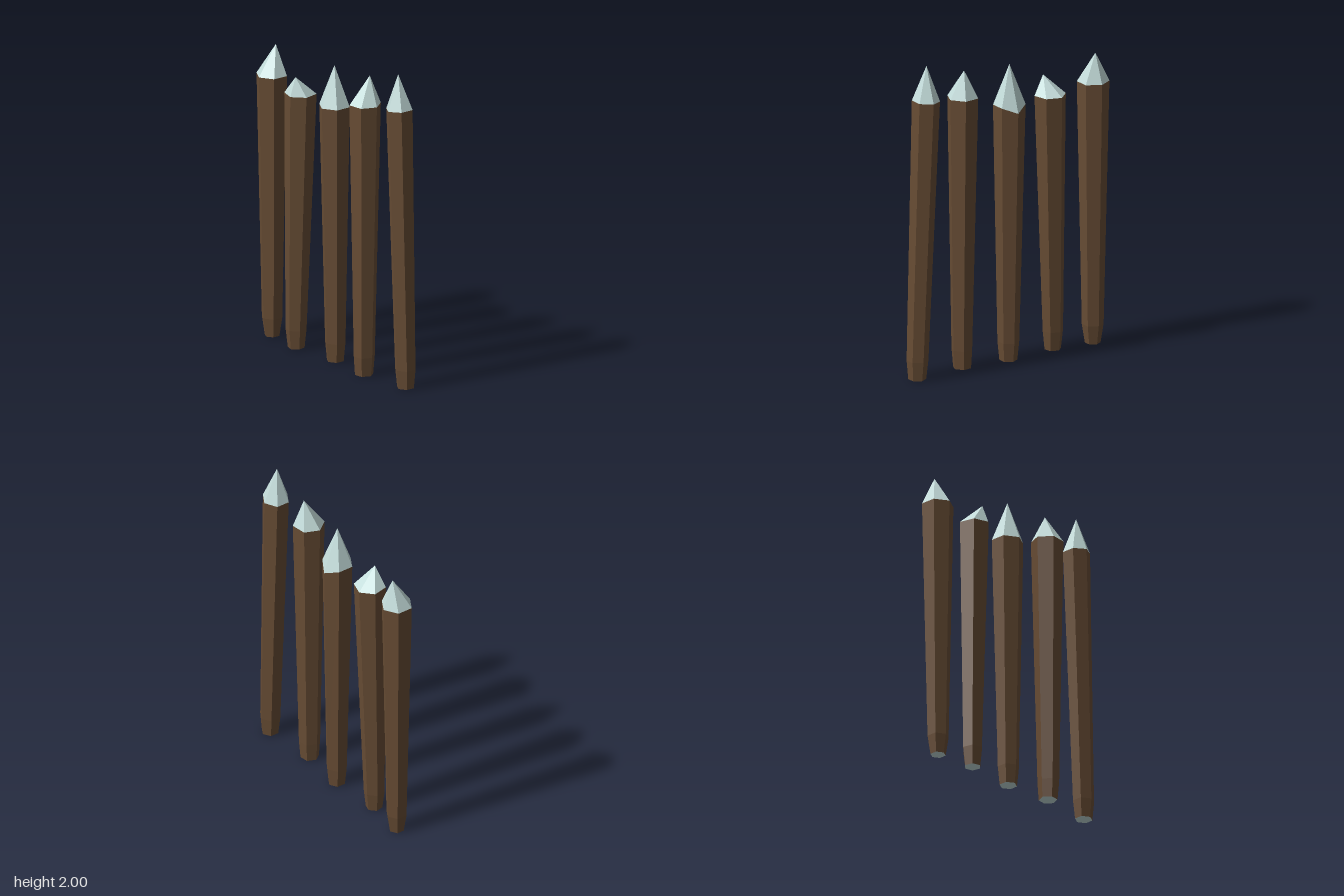
import * as THREE from 'three';

const wood = new THREE.MeshStandardMaterial({ color: 0x674c34 });
wood.name = 'brown bark';
const cut = new THREE.MeshStandardMaterial({ color: 0xc5dedc });
cut.name = 'pale cut wood';

const SIDES = 6;

// Each stake: rings of [x, y, z, radius] from foot to shoulder, the tip point,
// the turn of its hexagon in degrees, and optional slope / rear dip of the shoulder.
const stakes = [
  { turn: 0, tip: [-0.63, 1.87, -0.04],
    rings: [[-0.63, 0, -0.01, 0.048], [-0.63, 0.12, -0.01, 0.067], [-0.633, 1.68, -0.01, 0.1]] },
  { turn: 13, tip: [-0.313, 1.76, 0.06],
    rings: [[-0.357, 0, 0.02, 0.052], [-0.358, 0.12, 0.02, 0.065], [-0.33, 1.642, 0.008, 0.1]] },
  { turn: 0, tip: [-0.02, 1.9, -0.01], dip: 0.035,
    rings: [[-0.012, 0, -0.01, 0.055], [-0.012, 0.12, -0.01, 0.067], [-0.019, 1.64, -0.01, 0.1]] },
  { turn: 37.5, tip: [0.317, 1.92, -0.017],
    rings: [[0.307, 0, 0.02, 0.058], [0.309, 0.12, 0.02, 0.067], [0.307, 1.74, 0.012, 0.1]] },
  { turn: 0, tip: [0.593, 2, -0.018], slope: 0.06,
    rings: [[0.662, 0, -0.02, 0.055], [0.66, 0.12, -0.02, 0.067], [0.6, 1.776, -0.022, 0.0865]] },
];

// Corner points of one hexagonal cross-section
function ring([x, y, z, r], turn) {
  return Array.from({ length: SIDES }, (_, i) => {
    const a = THREE.MathUtils.degToRad(turn) + (i / SIDES) * Math.PI * 2;
    return [x + Math.sin(a) * r, y, z + Math.cos(a) * r];
  });
}

// Faceted mesh from a list of triangle corners
function facets(name, corners, material) {
  const geometry = new THREE.BufferGeometry();
  geometry.setAttribute('position', new THREE.Float32BufferAttribute(corners.flat(), 3));
  geometry.computeVertexNormals();
  const mesh = new THREE.Mesh(geometry, material);
  mesh.name = name;
  return mesh;
}

function makeStake({ rings, tip, turn, slope = 0, dip = 0 }) {
  const loops = rings.map((r) => ring(r, turn));
  const foot = loops[0];
  const shoulder = loops[loops.length - 1];
  const centre = rings[rings.length - 1];
  shoulder.forEach((p) => { p[1] += (p[0] - centre[0]) * slope; });
  shoulder[SIDES / 2][1] -= dip;

  const shaft = [], point = [], base = [];
  for (let i = 0; i < SIDES; i++) {
    const j = (i + 1) % SIDES;
    for (let k = 0; k < loops.length - 1; k++) {
      const low = loops[k], high = loops[k + 1];
      shaft.push(low[i], low[j], high[j], low[i], high[j], high[i]);
    }
    point.push(shoulder[i], shoulder[j], tip);
    base.push(rings[0].slice(0, 3), foot[j], foot[i]);
  }

  const group = new THREE.Group();
  group.add(
    facets('shaft', shaft, wood),
    facets('sharpenedPoint', point, cut),
    facets('footCut', base, cut),
  );
  return group;
}

export function createModel() {
  const model = new THREE.Group();
  model.name = 'palisade';
  stakes.forEach((spec, i) => {
    const stake = makeStake(spec);
    stake.name = `stake${i + 1}`;
    model.add(stake);
  });
  return model;
}
